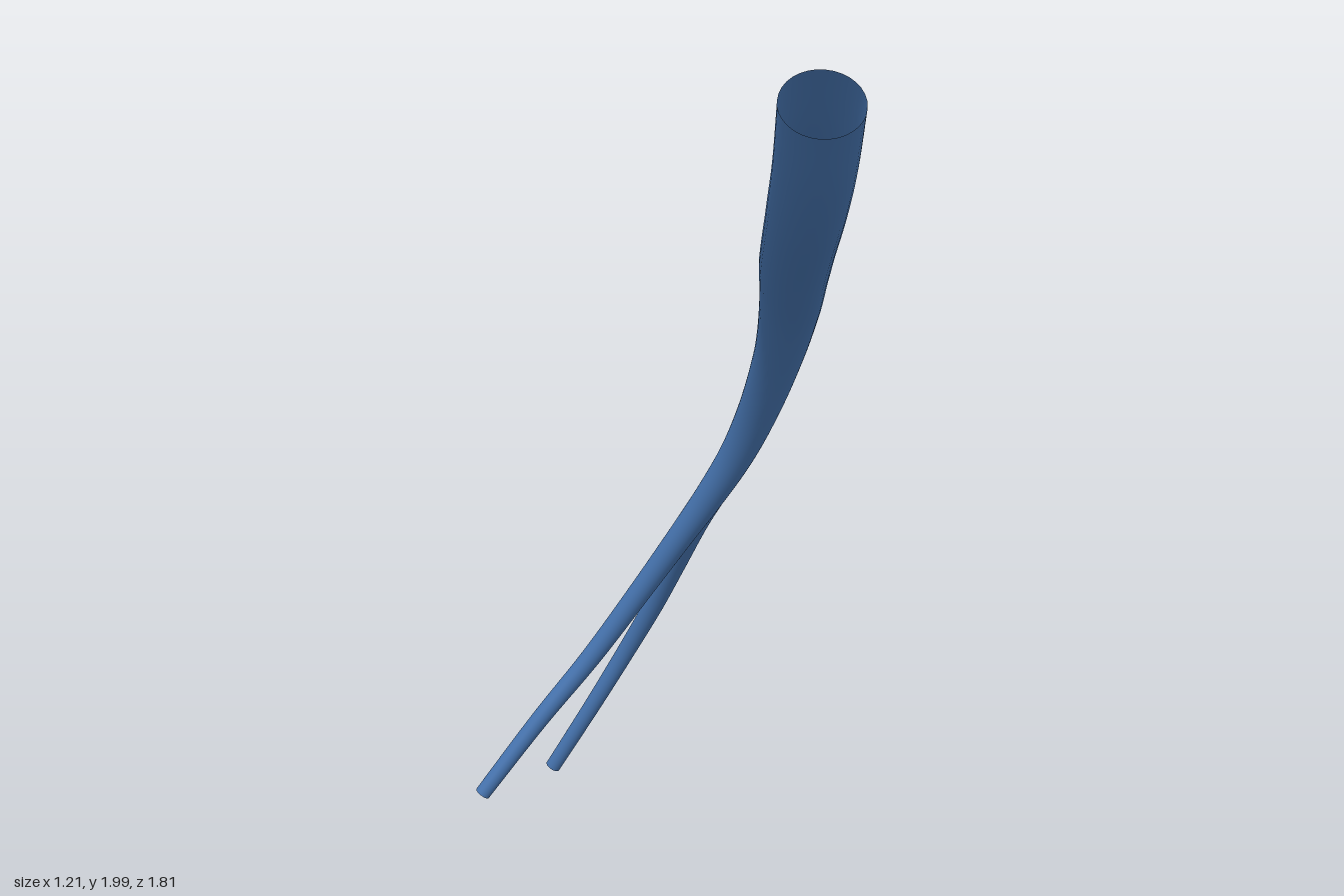
import * as THREE from 'three';

const blue = new THREE.MeshStandardMaterial({ color: 0x4877b4, side: THREE.DoubleSide });
blue.name = 'vessel blue';

// Open tapering tube; each station is [x, y, z, radius].
function taperedTube(name, stations, segments, sides) {
  const curve = new THREE.CatmullRomCurve3(stations.map(([x, y, z]) => new THREE.Vector3(x, y, z)));
  const geometry = new THREE.TubeGeometry(curve, segments, 1, sides, false);
  const pos = geometry.attributes.position;
  const v = new THREE.Vector3();
  for (let i = 0; i <= segments; i++) {
    const f = curve.getUtoTmapping(i / segments) * (stations.length - 1);
    const k = Math.min(Math.floor(f), stations.length - 2);
    const radius = THREE.MathUtils.lerp(stations[k][3], stations[k + 1][3], f - k);
    const centre = curve.getPointAt(i / segments);
    for (let j = 0; j <= sides; j++) {
      const n = i * (sides + 1) + j;
      v.fromBufferAttribute(pos, n).sub(centre).multiplyScalar(radius).add(centre);
      pos.setXYZ(n, v.x, v.y, v.z);
    }
  }
  const mesh = new THREE.Mesh(geometry, blue);
  mesh.name = name;
  return mesh;
}

export function createModel() {
  const group = new THREE.Group();
  group.name = 'forkedVessel';

  // Trunk running on into the inner branch
  group.add(taperedTube('trunkAndInnerBranch', [
    [-0.535, 1.93, 0.83, 0.089],
    [-0.43, 1.815, 0.74, 0.088],
    [-0.31, 1.725, 0.635, 0.087],
    [-0.03, 1.585, 0.40, 0.084],
    [0.155, 1.47, 0.25, 0.075],
    [0.275, 1.34, 0.13, 0.063],
    [0.365, 1.18, 0.0, 0.053],
    [0.407, 1.045, -0.105, 0.046],
    [0.417, 0.92, -0.205, 0.04],
    [0.41, 0.80, -0.30, 0.035],
    [0.388, 0.64, -0.42, 0.031],
    [0.338, 0.44, -0.56, 0.028],
    [0.26, 0.25, -0.69, 0.025],
    [0.165, 0.03, -0.825, 0.022],
  ], 120, 32));

  // Outer branch, rooted inside the trunk
  group.add(taperedTube('outerBranch', [
    [0.393, 1.09, -0.07, 0.034],
    [0.427, 0.98, -0.16, 0.035],
    [0.475, 0.84, -0.29, 0.033],
    [0.54, 0.68, -0.43, 0.03],
    [0.57, 0.55, -0.53, 0.028],
    [0.576, 0.41, -0.63, 0.026],
    [0.555, 0.23, -0.745, 0.024],
    [0.52, 0.018, -0.88, 0.022],
  ], 72, 32));

  return group;
}
